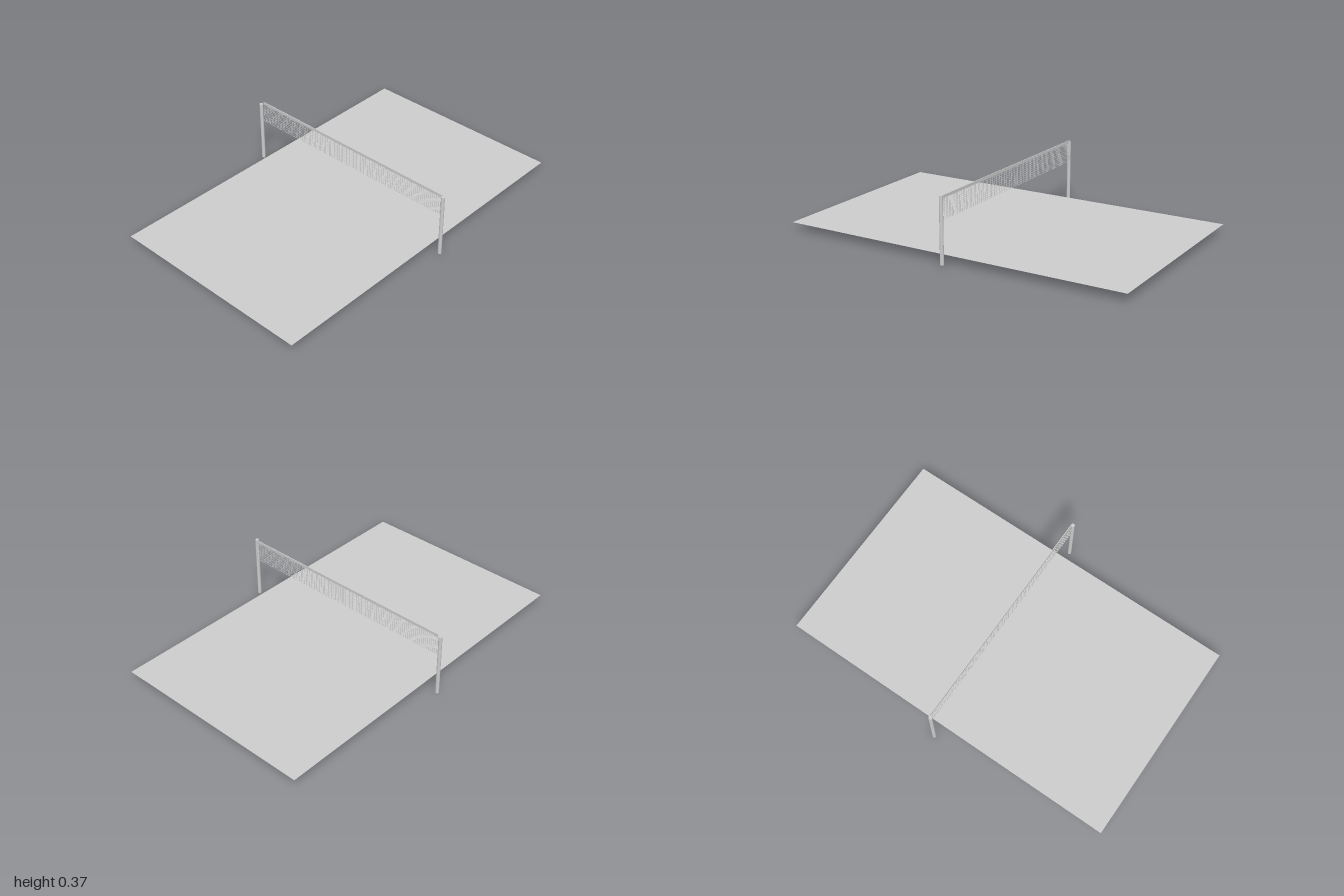
import * as THREE from 'three';
import { mergeGeometries } from 'three/addons/utils/BufferGeometryUtils.js';

export function createModel() {
  const group = new THREE.Group();
  const material = new THREE.MeshStandardMaterial({ color: 0xcccccc, side: THREE.DoubleSide });

  function add(name, geometry, x, y, z) {
    const mesh = new THREE.Mesh(geometry, material);
    mesh.name = name;
    mesh.position.set(x, y, z);
    group.add(mesh);
    return mesh;
  }

  // Court: a thin flat sheet
  add('court', new THREE.PlaneGeometry(2, 1.18).rotateX(-Math.PI / 2), 0, 0.045, 0.004);

  // Posts, the front one set slightly higher
  const post = new THREE.CylinderGeometry(0.01, 0.01, 0.358, 20);
  add('frontPost', post, 0.018, 0.191, 0.65);
  add('backPost', post, 0.018, 0.179, -0.65);

  // Net strands
  const netX = 0.026, zMin = -0.638, zMax = 0.642;
  const yMin = 0.247, yMax = 0.36, strand = 0.0012;
  const length = zMax - zMin, height = yMax - yMin;
  const midY = (yMin + yMax) / 2, midZ = (zMin + zMax) / 2;
  const columns = 102, rows = 10;
  const strands = [];
  for (let i = 0; i <= columns; i++) {
    strands.push(new THREE.BoxGeometry(strand, height, strand)
      .translate(0, 0, -length / 2 + (length * i) / columns));
  }
  for (let j = 0; j <= rows; j++) {
    strands.push(new THREE.BoxGeometry(strand, strand, length)
      .translate(0, -height / 2 + (height * j) / rows, 0));
  }
  add('net', mergeGeometries(strands), netX, midY, midZ);

  // Tape along the top of the net
  add('topTape', new THREE.BoxGeometry(0.004, 0.016, length), netX, 0.364, midZ);

  return group;
}
